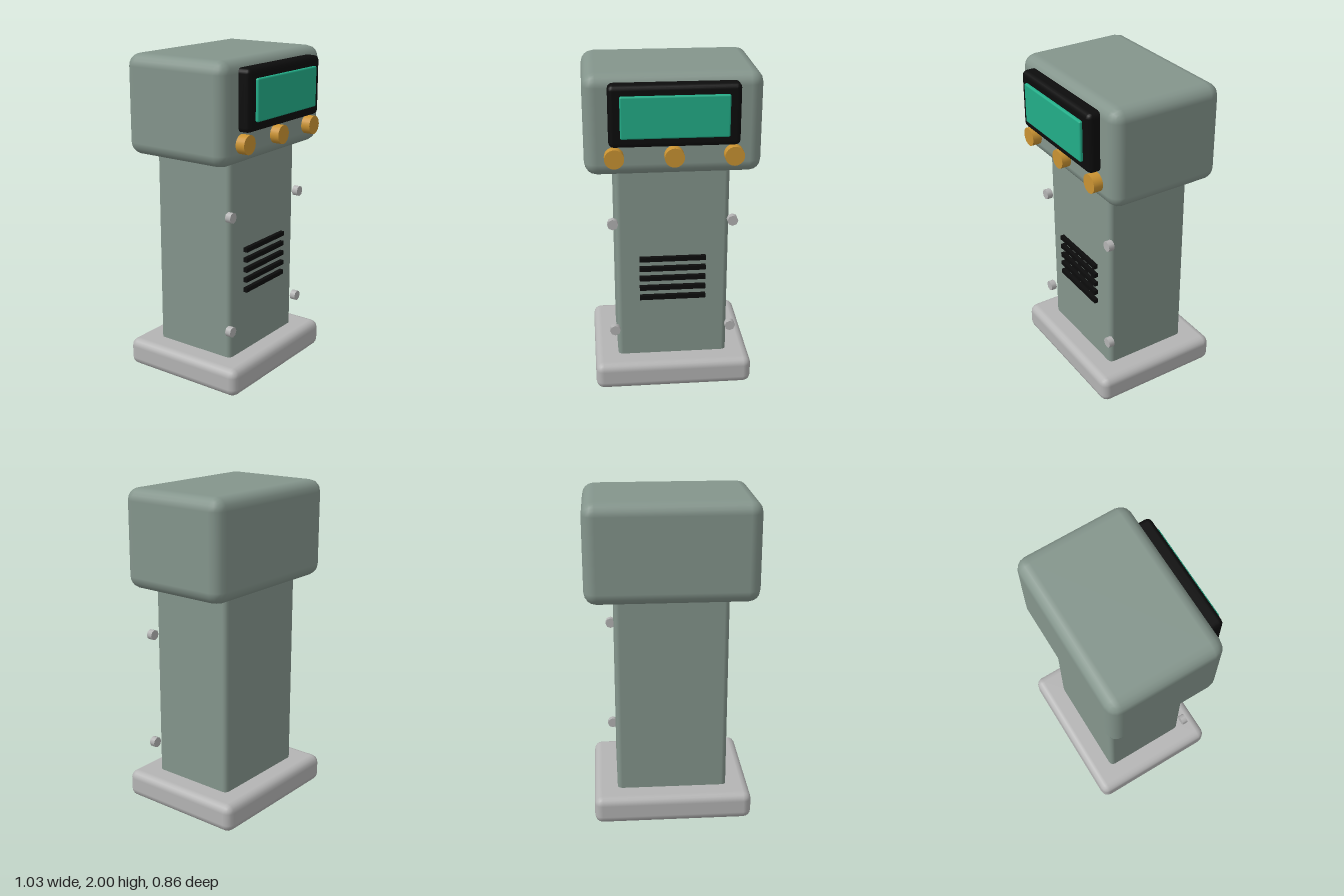
import * as THREE from 'three';
import { RoundedBoxGeometry } from 'three/addons/geometries/RoundedBoxGeometry.js';

const mat = (name, color) => {
  const m = new THREE.MeshStandardMaterial({ color });
  m.name = name;
  return m;
};

export function createModel() {
  const group = new THREE.Group();
  const green = mat('greyGreen', 0x84958c);
  const grey = mat('lightGrey', 0xb4b4b4);
  const black = mat('black', 0x0c0c0c);
  const teal = mat('teal', 0x22ad88);
  const amber = mat('amber', 0xca9332);

  const add = (name, geometry, material, x, y, z) => {
    const mesh = new THREE.Mesh(geometry, material);
    mesh.name = name;
    mesh.position.set(x, y, z);
    group.add(mesh);
    return mesh;
  };

  // Softly rounded block filling the given ranges
  const block = (name, material, r, [x0, x1], [y0, y1], [z0, z1]) => {
    const size = [x1 - x0, y1 - y0, z1 - z0];
    const geometry = new RoundedBoxGeometry(...size, 2, r);
    geometry.computeBoundingBox();
    const real = geometry.boundingBox.getSize(new THREE.Vector3());
    geometry.scale(size[0] / real.x, size[1] / real.y, size[2] / real.z);
    add(name, geometry, material, (x0 + x1) / 2, (y0 + y1) / 2, (z0 + z1) / 2);
  };

  // Short cylinder facing the front
  const disc = (name, material, r, sides, x, y, z0, z1) => {
    const geometry = new THREE.CylinderGeometry(r, r, z1 - z0, sides).rotateX(Math.PI / 2);
    add(name, geometry, material, x, y, (z0 + z1) / 2);
  };

  // Main body
  block('base', grey, 0.05, [-0.488, 0.488], [0, 0.175], [-0.43, 0.4]);
  block('column', green, 0.03, [-0.342, 0.342], [0.13, 1.45], [-0.288, 0.26]);
  block('head', green, 0.075, [-0.516, 0.516], [1.4, 2], [-0.375, 0.342]);

  // Display
  block('screenBezel', black, 0.03, [-0.375, 0.375], [1.595, 1.955], [0.3, 0.413]);
  block('screen', teal, 0.01, [-0.31, 0.31], [1.652, 1.897], [0.39, 0.431]);

  // Control knobs
  for (const x of [-0.345, 0, 0.345]) disc('knob', amber, 0.057, 24, x, 1.527, 0.31, 0.4);

  // Vent slats
  for (let i = 0; i < 5; i++) {
    add('ventSlat', new THREE.BoxGeometry(0.405, 0.028, 0.035), black, 0, 0.58 + i * 0.0645, 0.268);
  }

  // Bolts on the column edges
  for (const x of [-0.36, 0.36]) {
    for (const y of [0.365, 1.083]) disc('bolt', grey, 0.033, 8, x, y, 0.26, 0.297);
  }
  return group;
}
